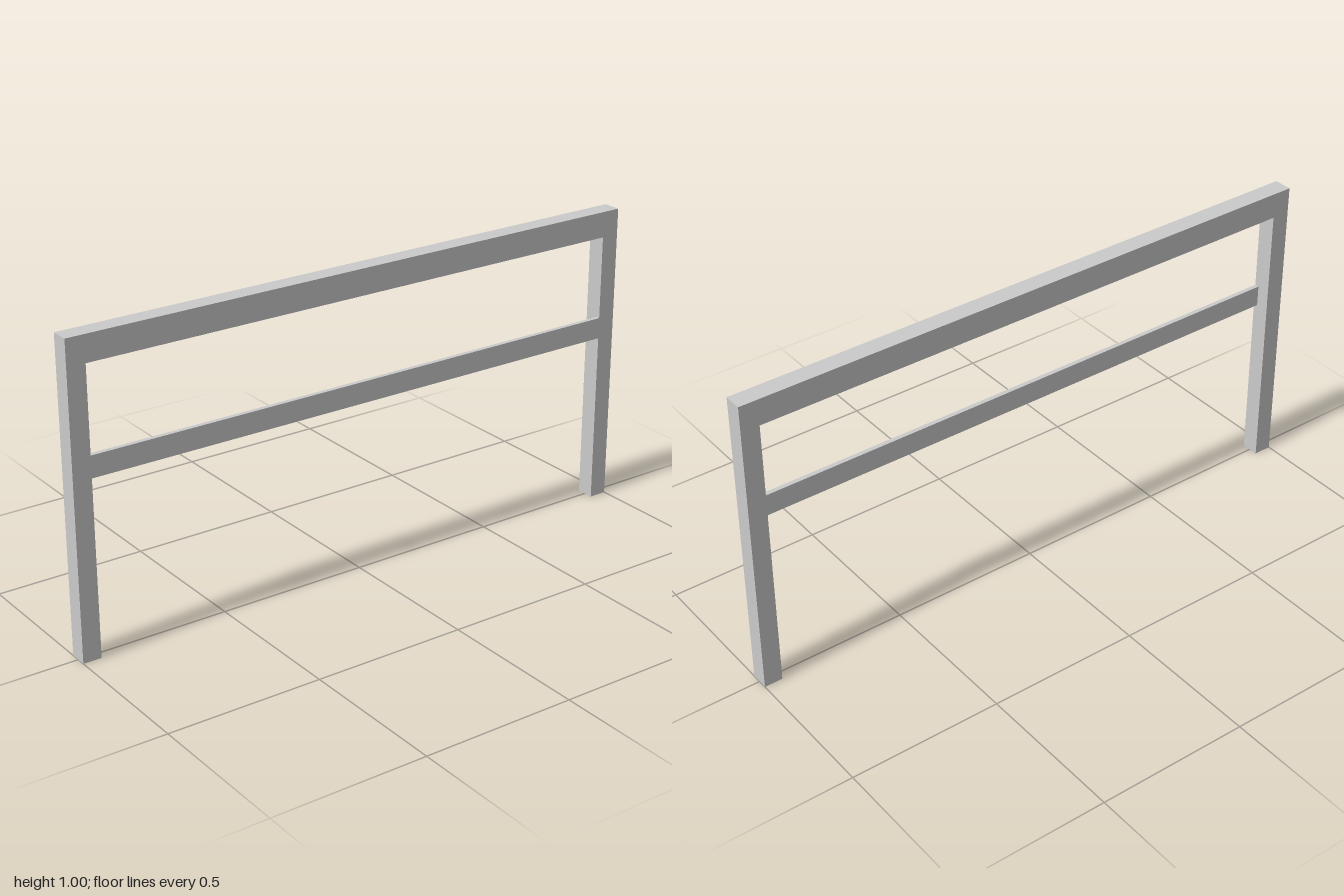
import * as THREE from 'three';

export function createModel() {
  const model = new THREE.Group();
  const material = new THREE.MeshStandardMaterial({
    color: 0xcccccc, flatShading: true, side: THREE.DoubleSide,
  });

  const width = 0.06;      // square section of the posts
  const railBottom = 0.915; // underside of the top rail

  function add(name, geometry, x, y, z) {
    const mesh = new THREE.Mesh(geometry, material);
    mesh.name = name;
    mesh.position.set(x, y, z);
    model.add(mesh);
  }

  // Hollow square posts, open at the foot and capped by the top rail
  const post = new THREE.CylinderGeometry(
    width * Math.SQRT1_2, width * Math.SQRT1_2, railBottom, 4, 1, true
  ).rotateY(Math.PI / 4);
  add('frontPost', post, 0, railBottom / 2, 1 - width / 2);
  add('backPost', post, 0, railBottom / 2, -1 + width / 2);

  // Top rail across both posts
  add('topRail', new THREE.BoxGeometry(width, 1 - railBottom, 2), 0, (1 + railBottom) / 2, 0);

  // Thin middle rail between the posts, flush with their +x side
  const plate = 0.015;
  add('middleRail', new THREE.BoxGeometry(plate, 0.07, 2 - 2 * width),
    (width - plate) / 2, 0.605, 0);

  return model;
}
